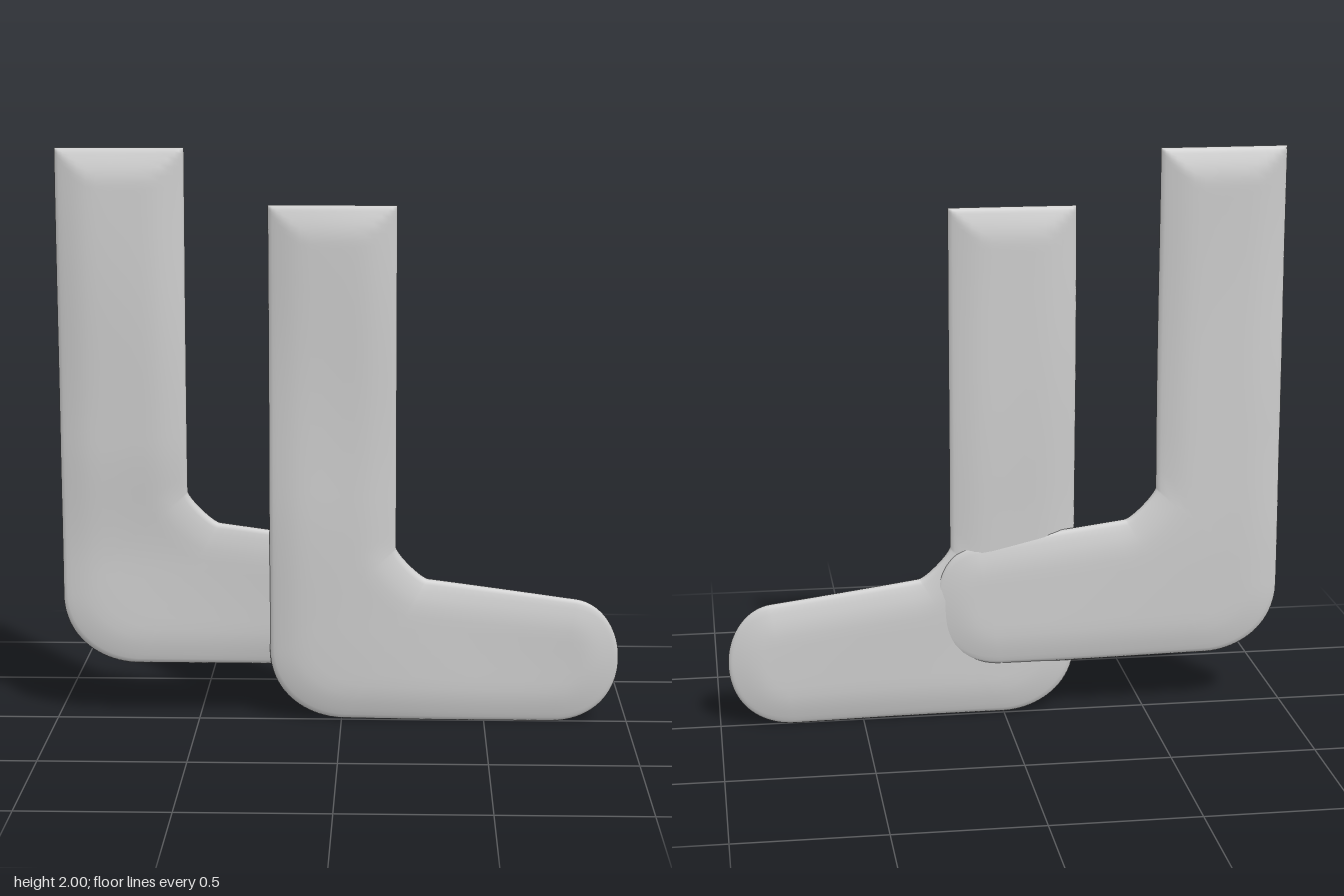
import * as THREE from 'three';

const V = (x, y) => new THREE.Vector2(x, y);
const line = (a, b, c, d) => new THREE.LineCurve(V(a, b), V(c, d));
const bez = (a, b, c, d, e, f, g, h) => new THREE.CubicBezierCurve(V(a, b), V(c, d), V(e, f), V(g, h));
const smooth = (t) => THREE.MathUtils.smoothstep(t, 0, 1);

// Paired shin-side and heel-side edges, from the cuff down to the toe tip
const STRETCHES = [
  { inner: line(0.19, 1.808, 0.19, 1.66), outer: line(-0.25, 1.808, -0.25, 1.62), n: 14, ease: true },
  { inner: line(0.19, 1.66, 0.19, 0.62), outer: line(-0.25, 1.62, -0.25, 0.25), n: 28 },
  { inner: bez(0.19, 0.62, 0.2, 0.59, 0.27, 0.52, 0.3, 0.51), outer: bez(-0.25, 0.25, -0.25, 0.1, -0.13, 0.01, 0, 0.005), n: 20 },
  { inner: line(0.3, 0.51, 0.82, 0.44), outer: line(0, 0.005, 0.74, 0), n: 18 },
  { inner: bez(0.82, 0.44, 0.91, 0.425, 0.968, 0.33, 0.968, 0.23), outer: bez(0.74, 0, 0.87, 0, 0.968, 0.09, 0.968, 0.23), n: 22 },
];

// Steps across the width, packed toward both edges
const HALF = [0, 0.012, 0.035, 0.07, 0.12, 0.18, 0.25, 0.33, 0.42];
const ACROSS = [...HALF, 0.5, ...HALF.map((t) => 1 - t).reverse()];

function sections() {
  const rows = [];
  STRETCHES.forEach((s, k) => {
    for (let i = k ? 1 : 0; i <= s.n; i++) {
      const t = s.ease ? (i / s.n) ** 2 : i / s.n;
      rows.push([s.inner.getPoint(t), s.outer.getPoint(t)]);
    }
  });
  return rows;
}

// Distance from a point to the closed outline
function edgeDistance(p, outline) {
  let best = Infinity;
  for (let i = 0; i < outline.length; i++) {
    const a = outline[i], b = outline[(i + 1) % outline.length];
    const dx = b.x - a.x, dy = b.y - a.y;
    const t = THREE.MathUtils.clamp(((p.x - a.x) * dx + (p.y - a.y) * dy) / (dx * dx + dy * dy || 1), 0, 1);
    best = Math.min(best, Math.hypot(p.x - a.x - t * dx, p.y - a.y - t * dy));
  }
  return best;
}

// Soft pillow: a rounded rim rising over a broad slope to a flat middle
function thickness(d, full) {
  const rim = 0.009 * Math.sqrt(1 - (1 - Math.min(d / 0.014, 1)) ** 2);
  return rim + (full - 0.009) * Math.sin(Math.min(d / 0.13, 1) * Math.PI / 2);
}

function sockGeometry({ legZ, footZ, legHalf, footHalf, phase }) {
  const rows = sections();
  const outline = [...rows.map((r) => r[0]), ...rows.map((r) => r[1]).reverse()];
  const m = ACROSS.length - 1, ring = 2 * m;
  const pos = [], index = [];
  for (const [a, b] of rows) {
    for (let j = 0; j < ring; j++) {
      const front = j <= m;
      const p = a.clone().lerp(b, ACROSS[front ? j : ring - j]);
      const leg = smooth((p.y - 0.35) / 0.45);
      const mid = THREE.MathUtils.lerp(footZ, legZ, leg) + 0.005 * Math.sin(4.5 * p.y + 5 * p.x + phase);
      const h = thickness(edgeDistance(p, outline), THREE.MathUtils.lerp(footHalf, legHalf, leg));
      pos.push(p.x, p.y, mid + (front ? h : -h));
    }
  }
  for (let i = 0; i < rows.length - 1; i++) {
    for (let j = 0; j < ring; j++) {
      const k = (j + 1) % ring;
      const a = i * ring + j, b = i * ring + k, c = a + ring, d = b + ring;
      index.push(a, b, c, b, d, c);
    }
  }
  const g = new THREE.BufferGeometry();
  g.setAttribute('position', new THREE.Float32BufferAttribute(pos, 3));
  g.setIndex(index);
  g.computeVertexNormals();
  return g;
}

export function createModel() {
  const group = new THREE.Group();
  group.name = 'pairOfSocks';
  const wool = new THREE.MeshStandardMaterial({ color: 0xcccccc });
  wool.name = 'pale grey wool';

  // Near sock, overlapping the toe of the other
  const frontSock = new THREE.Mesh(
    sockGeometry({ legZ: 0.006, footZ: 0.0, legHalf: 0.036, footHalf: 0.034, phase: 0 }), wool);
  frontSock.name = 'frontSock';

  // Far sock, set higher and to the side
  const backSock = new THREE.Mesh(
    sockGeometry({ legZ: -0.005, footZ: -0.02, legHalf: 0.04, footHalf: 0.03, phase: 2 }), wool);
  backSock.name = 'backSock';
  backSock.position.set(-0.724, 0.192, 0);

  group.add(frontSock, backSock);
  return group;
}
